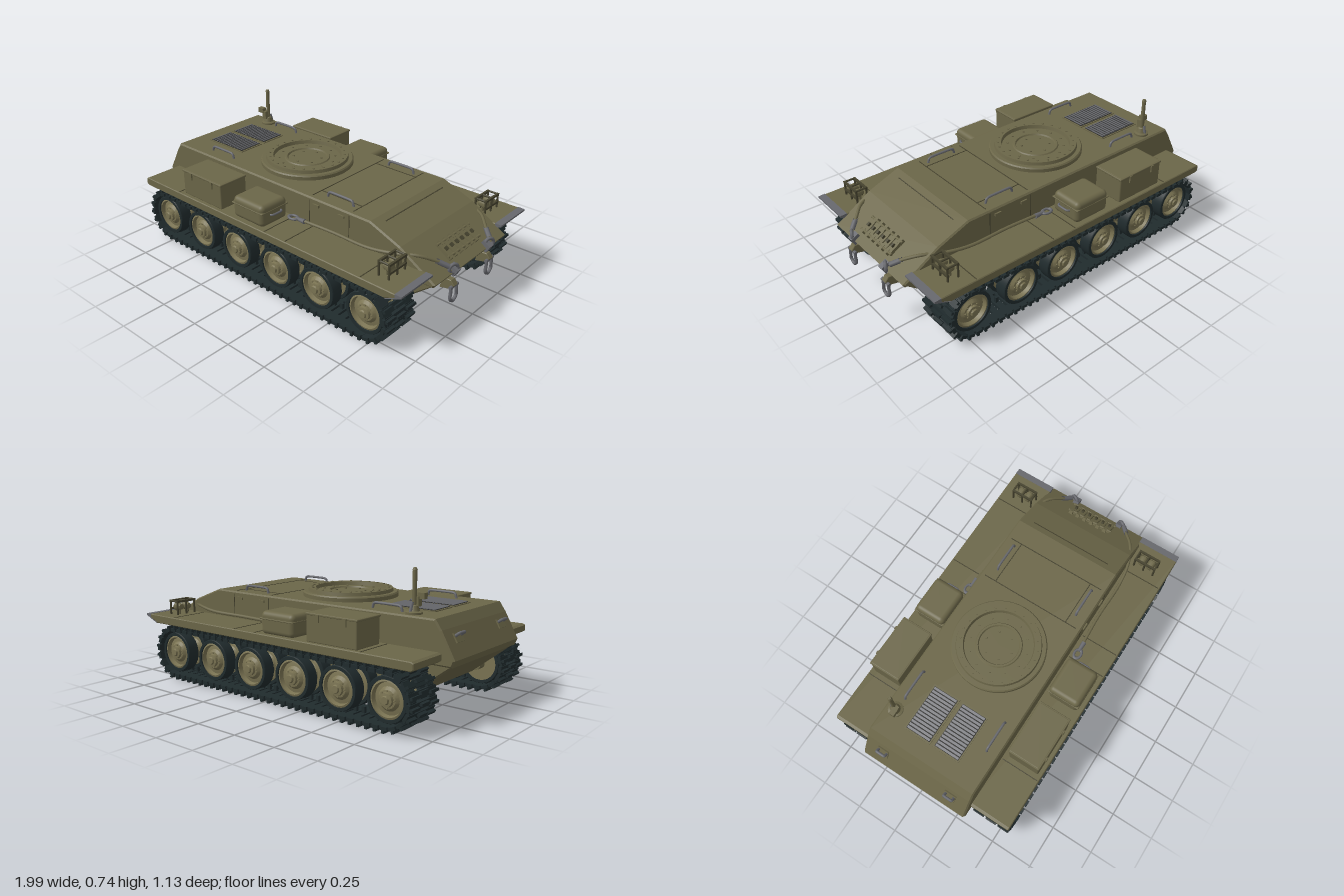
import * as THREE from 'three';
import { mergeGeometries, toCreasedNormals } from 'three/addons/utils/BufferGeometryUtils.js';
import { RoundedBoxGeometry } from 'three/addons/geometries/RoundedBoxGeometry.js';

const material = (name, color) => Object.assign(new THREE.MeshStandardMaterial({ color }), { name });
const olive = material('olive paint', 0x6b6648);
const wheelOlive = material('wheel paint', 0x7b7453);
const seam = material('dark seam', 0x46432f);
const steel = material('bare steel', 0x67686d);
const rubber = material('track metal', 0x202b2d);
const black = material('vent dark', 0x2c2c2a);

const V = (x, y, z) => new THREE.Vector3(x, y, z);
const box = (w, h, d) => new THREE.BoxGeometry(w, h, d);
const cyl = (r1, r2, h, n = 20) => new THREE.CylinderGeometry(r1, r2, h, n);
const tube = (pts, r, n = 24, tension = 0.3) =>
  new THREE.TubeGeometry(new THREE.CatmullRomCurve3(pts, false, 'catmullrom', tension), n, r, 7);
const lathe = (pts, n = 36) =>
  toCreasedNormals(new THREE.LatheGeometry(pts.map(p => new THREE.Vector2(...p)), n), 0.5);

function add(parent, name, geo, mat, x = 0, y = 0, z = 0) {
  const m = new THREE.Mesh(geo, mat);
  m.name = name;
  m.position.set(x, y, z);
  parent.add(m);
  return m;
}
function extrude(pts, z0, z1, bevel = 0.006) {
  const g = new THREE.ExtrudeGeometry(new THREE.Shape(pts.map(p => new THREE.Vector2(...p))), {
    depth: z1 - z0 - 2 * bevel, bevelEnabled: bevel > 0, bevelSize: bevel, bevelThickness: bevel,
    bevelOffset: -bevel, bevelSegments: 1 });
  return g.translate(0, 0, z0 + bevel);
}

// One track: shoes with cleats and guide horns placed around a long oval
function trackGeometry() {
  const x0 = -0.77, x1 = 0.715, cy = 0.165, r = 0.133, L = x1 - x0, total = 2 * L + 2 * Math.PI * r;
  const link = mergeGeometries([
    box(0.036, 0.018, 0.232),
    ...[-0.08, 0, 0.08].map((z, i) => box(0.014, 0.018, 0.066).translate(i === 1 ? 0.006 : -0.006, 0.016, z)),
    box(0.018, 0.034, 0.016).translate(0, -0.024, 0),
    box(0.05, 0.014, 0.05).translate(0, -0.002, 0.08),
    box(0.05, 0.014, 0.05).translate(0, -0.002, -0.08)]);
  const n = 78, parts = [];
  for (let i = 0; i < n; i++) {
    let s = i / n * total, x, y, a;
    if (s < L) { x = x1 - s; y = cy + r; a = 0; }
    else if ((s -= L) < Math.PI * r) { a = s / r; x = x0 - Math.sin(a) * r; y = cy + Math.cos(a) * r; }
    else if ((s -= Math.PI * r) < L) { a = Math.PI; x = x0 + s; y = cy - r; }
    else { a = Math.PI + (s - L) / r; x = x1 - Math.sin(a) * r; y = cy + Math.cos(a) * r; }
    parts.push(link.clone().rotateZ(a).translate(x, y, 0));
  }
  return mergeGeometries(parts);
}

// Dished road wheel with a dark tyre, axis along z, outer face toward s
function roadWheel(s) {
  const g = new THREE.Group();
  g.name = 'roadWheel';
  const turn = geo => geo.rotateX(s * Math.PI / 2);
  const tyre = [[0.096, -0.035], [0.112, -0.035], [0.115, -0.03], [0.115, 0.03], [0.112, 0.035], [0.096, 0.035], [0.096, -0.035]];
  const disc = [[0, -0.03], [0.097, -0.03], [0.097, 0.03], [0.086, 0.034], [0.08, 0.012], [0.06, 0.016],
    [0.046, 0.03], [0.036, 0.032], [0.034, 0.046], [0.022, 0.048], [0.018, 0.056], [0, 0.056]];
  for (const z of [-0.06, 0.06]) {
    add(g, 'tyre', turn(lathe(tyre)), rubber, 0, 0, z);
    add(g, 'wheelDisc', turn(lathe(disc)), wheelOlive, 0, 0, z - (s * z < 0 ? 0 : s * 0.004));
  }
  for (let i = 0; i < 8; i++) {
    const a = i * Math.PI / 4;
    add(g, 'wheelBolt', turn(cyl(0.005, 0.005, 0.012, 6)), wheelOlive, Math.cos(a) * 0.041, Math.sin(a) * 0.041, s * 0.086);
  }
  return g;
}

function grabHandle(parent, x, z, len) {
  const h = len / 2;
  add(parent, 'grabHandle', tube([V(-h, 0, 0), V(-h + 0.008, 0.026, 0), V(-h + 0.03, 0.032, 0),
    V(h - 0.03, 0.032, 0), V(h - 0.008, 0.026, 0), V(h, 0, 0)], 0.007), steel, x, 0.522, z);
}

// Everything that appears once per side
function sideParts(s) {
  const g = new THREE.Group();
  g.name = s > 0 ? 'rightHandSide' : 'farSide';
  add(g, 'track', trackGeometry(), rubber, 0, 0, s * 0.443);
  for (const x of [-0.77, -0.48, -0.185, 0.115, 0.405, 0.715]) {
    const w = roadWheel(s);
    w.position.set(x, 0.165, s * 0.443);
    g.add(w);
    add(g, 'axle', cyl(0.03, 0.03, 0.1).rotateX(Math.PI / 2), olive, x, 0.165, s * 0.35);
    add(g, 'swingArm', box(0.14, 0.035, 0.02), olive, x + 0.06, 0.145, s * 0.335).rotation.z = -0.3;
  }
  // Fender with an undercut steel tip
  const z0 = s > 0 ? 0.315 : -0.563, z1 = z0 + 0.248;
  add(g, 'fender', extrude([[-0.93, 0.335], [-0.915, 0.325], [0.85, 0.325], [0.91, 0.351], [0.91, 0.372], [-0.915, 0.372], [-0.93, 0.365]], z0, z1, 0.004), olive);
  add(g, 'fenderTip', extrude([[0.85, 0.323], [0.945, 0.362], [0.945, 0.372], [0.906, 0.373], [0.906, 0.352]], z0, z1, 0), steel);
  for (const x of [-0.63, 0.06, 0.21, 0.7])
    add(g, 'fenderSeam', box(0.005, 0.004, 0.22), seam, x, 0.372, s * 0.445);
  // Stowage boxes
  add(g, 'largeStowageBox', new RoundedBoxGeometry(0.315, 0.15, 0.185, 2, 0.008), olive, -0.443, 0.444, s * 0.447);
  add(g, 'largeBoxLid', new RoundedBoxGeometry(0.322, 0.012, 0.19, 1, 0.004), olive, -0.443, 0.512, s * 0.447);
  for (const x of [-0.53, -0.36]) add(g, 'boxLatch', box(0.02, 0.04, 0.008), olive, x, 0.495, s * 0.544);
  add(g, 'smallStowageBox', new RoundedBoxGeometry(0.228, 0.125, 0.19, 4, 0.028), olive, -0.083, 0.428, s * 0.443);
  add(g, 'smallBoxBand', new RoundedBoxGeometry(0.232, 0.008, 0.194, 2, 0.003), olive, -0.083, 0.45, s * 0.443);
  add(g, 'boxHandle', tube([V(0, 0, -0.04), V(0.014, 0, -0.03), V(0.014, 0, 0.03), V(0, 0, 0.04)], 0.006, 14), steel, 0.03, 0.43, s * 0.44);
  // Headlamps inside a guard cage
  for (const z of [0.395, 0.45]) {
    add(g, 'headlamp', lathe([[0, -0.03], [0.016, -0.025], [0.024, 0.01], [0.024, 0.02], [0, 0.024]], 16).rotateZ(-Math.PI / 2), olive, 0.785, 0.415, s * z);
    add(g, 'lampStem', cyl(0.008, 0.008, 0.04, 8), olive, 0.78, 0.388, s * z);
  }
  for (const z of [0.36, 0.422, 0.485])
    add(g, 'lampGuardHoop', tube([V(0.755, 0.37, s * z), V(0.755, 0.45, s * z), V(0.815, 0.45, s * z), V(0.815, 0.37, s * z)], 0.006, 20, 0.05), seam);
  for (const [x, y] of [[0.755, 0.45], [0.815, 0.45], [0.815, 0.405]])
    add(g, 'lampGuardBar', box(0.012, 0.012, 0.135), seam, x, y, s * 0.422);
  // Tow cable with steel eyes
  add(g, 'towCable', tube([V(0.13, 0.393, s * 0.365), V(0.35, 0.393, s * 0.352), V(0.57, 0.395, s * 0.355), V(0.72, 0.41, s * 0.335),
    V(0.83, 0.418, s * 0.285), V(0.9, 0.39, s * 0.225), V(0.95, 0.36, s * 0.18)], 0.009, 50, 0.5), olive);
  add(g, 'cableSocket', cyl(0.009, 0.014, 0.06, 10).rotateZ(Math.PI / 2), steel, 0.14, 0.393, s * 0.366);
  add(g, 'cableEye', new THREE.TorusGeometry(0.02, 0.007, 8, 18).rotateX(Math.PI / 2).scale(1.4, 1, 1), steel, 0.093, 0.393, s * 0.37);
  add(g, 'frontCableSocket', tube([V(0.9, 0.39, s * 0.225), V(0.95, 0.36, s * 0.185)], 0.014, 4), steel);
  add(g, 'frontCableEye', new THREE.TorusGeometry(0.024, 0.009, 8, 18).rotateY(1.1), steel, 0.963, 0.345, s * 0.165);
  // Nose tow hook and hanging shackle
  add(g, 'towHook', box(0.05, 0.045, 0.035), steel, 0.955, 0.33, s * 0.15).rotation.z = -0.5;
  add(g, 'shackleBracket', extrude([[0.9, 0.22], [0.97, 0.235], [0.985, 0.26], [0.965, 0.285], [0.92, 0.285]], s * 0.165 - 0.018, s * 0.165 + 0.018, 0.003), olive);
  add(g, 'shacklePin', cyl(0.009, 0.009, 0.07, 10).rotateX(Math.PI / 2), steel, 0.972, 0.25, s * 0.165);
  add(g, 'shackle', tube([V(0, 0, -0.024), V(0, -0.03, -0.025), V(0, -0.065, -0.027), V(0, -0.085, 0),
    V(0, -0.065, 0.027), V(0, -0.03, 0.025), V(0, 0, 0.024)], 0.009, 28, 0.5), steel, 0.973, 0.25, s * 0.165);
  // Roof handles, rear brackets, side seams
  grabHandle(g, -0.575, s * 0.26, 0.18);
  grabHandle(g, 0.325, s * 0.258, 0.175);
  add(g, 'rearBracket', tube([V(-0.95, 0.44, s * 0.24), V(-0.97, 0.455, s * 0.24), V(-0.97, 0.455, s * 0.19), V(-0.95, 0.44, s * 0.19)], 0.008, 16, 0.1), steel);
  add(g, 'rearBracketBase', box(0.05, 0.02, 0.07), olive, -0.948, 0.428, s * 0.215).rotation.z = 1.03;
  for (const x of [0.17, 0.44])
    add(g, 'sideSeam', box(0.005, 0.13, 0.004), seam, x, 0.445, s * 0.327);
  for (const x of [0.22, 0.39])
    add(g, 'sideHinge', box(0.04, 0.014, 0.012), olive, x, 0.49, s * 0.33);
  return g;
}

export function createModel() {
  const model = new THREE.Group();
  model.name = 'trackedVehicle';

  // Hull
  add(model, 'upperHull', extrude([[-0.985, 0.305], [0.955, 0.305], [0.967, 0.325], [0.757, 0.452], [0.57, 0.525], [-0.89, 0.525],
    [-0.925, 0.475], [-1, 0.34]], -0.328, 0.328, 0.008), olive);
  add(model, 'lowerHull', extrude([[-0.75, 0.125], [0.73, 0.125], [0.955, 0.31], [-0.985, 0.31]], -0.318, 0.318, 0.012), olive);
  for (const x of [0.17, 0.445]) add(model, 'roofSeam', box(0.005, 0.004, 0.6), seam, x, 0.525, 0);
  for (const z of [-0.23, 0.23]) add(model, 'hatchSeam', box(0.27, 0.004, 0.005), seam, 0.308, 0.525, z);
  add(model, 'glacisSeam', box(0.005, 0.004, 0.5), seam, 0.61, 0.51, 0).rotation.z = -0.37;

  // Covered ring on the roof with bolts
  add(model, 'roofRing', lathe([[0, 0.548], [0.11, 0.548], [0.115, 0.556], [0.125, 0.556], [0.13, 0.55], [0.19, 0.55], [0.195, 0.57],
    [0.232, 0.57], [0.236, 0.552], [0.258, 0.552], [0.264, 0.545], [0.264, 0.52]].reverse(), 56), olive, -0.147, 0, 0);
  for (const [r, n, y] of [[0.213, 24, 0.57], [0.16, 12, 0.551], [0.08, 6, 0.549]])
    for (let i = 0; i < n; i++) {
      const a = (i + 0.5) / n * Math.PI * 2;
      add(model, 'ringBolt', cyl(0.007, 0.007, 0.008, 6), olive, -0.147 + Math.cos(a) * r, y, Math.sin(a) * r);
    }

  // Engine vents with slats
  for (const z of [-0.09, 0.09]) {
    add(model, 'ventFrame', box(0.285, 0.008, 0.165), olive, -0.655, 0.526, z);
    add(model, 'ventOpening', box(0.265, 0.004, 0.148), black, -0.655, 0.53, z);
    for (let i = 0; i < 14; i++)
      add(model, 'ventSlat', box(0.013, 0.004, 0.142), steel, -0.655 + (i - 6.5) * 0.019, 0.534, z).rotation.z = 0.3;
  }

  // Aerial mast with its mount
  add(model, 'mastBase', lathe([[0.042, 0.52], [0.042, 0.535], [0.028, 0.54], [0.02, 0.565], [0.014, 0.57], [0, 0.57]], 20), olive, -0.738, 0, -0.268);
  add(model, 'mast', cyl(0.011, 0.012, 0.18, 14), olive, -0.738, 0.652, -0.268);
  add(model, 'mastCap', cyl(0.008, 0.013, 0.012, 14), olive, -0.738, 0.742, -0.268);
  add(model, 'mastLamp', box(0.04, 0.03, 0.03), olive, -0.768, 0.613, -0.245);
  add(model, 'mastClamp', box(0.03, 0.05, 0.03), olive, -0.745, 0.585, -0.252);
  add(model, 'mastStrut', tube([V(-0.735, 0.53, -0.3), V(-0.738, 0.585, -0.285)], 0.008, 4), steel);

  // Spare track links on the nose plate
  const spares = new THREE.Group();
  spares.name = 'spareTrackLinks';
  spares.position.set(0.877, 0.392, 0);
  spares.rotation.z = -0.544;
  for (let i = 0; i < 6; i++) {
    const z = (i - 2.5) * 0.046;
    add(spares, 'spareLink', box(0.08, 0.018, 0.04), olive, 0, 0, z);
    for (const x of [-0.04, 0.04]) add(spares, 'linkKnuckle', box(0.03, 0.024, 0.022), olive, x, 0, z + (x > 0 ? 0.01 : -0.01));
    add(spares, 'linkHorn', box(0.02, 0.02, 0.014), seam, 0, 0.012, z);
  }
  for (const x of [-0.04, 0.04]) add(spares, 'linkPin', cyl(0.007, 0.007, 0.29, 8).rotateX(Math.PI / 2), olive, x, 0.006, 0);
  model.add(spares);

  model.add(sideParts(1), sideParts(-1));
  return model;
}
